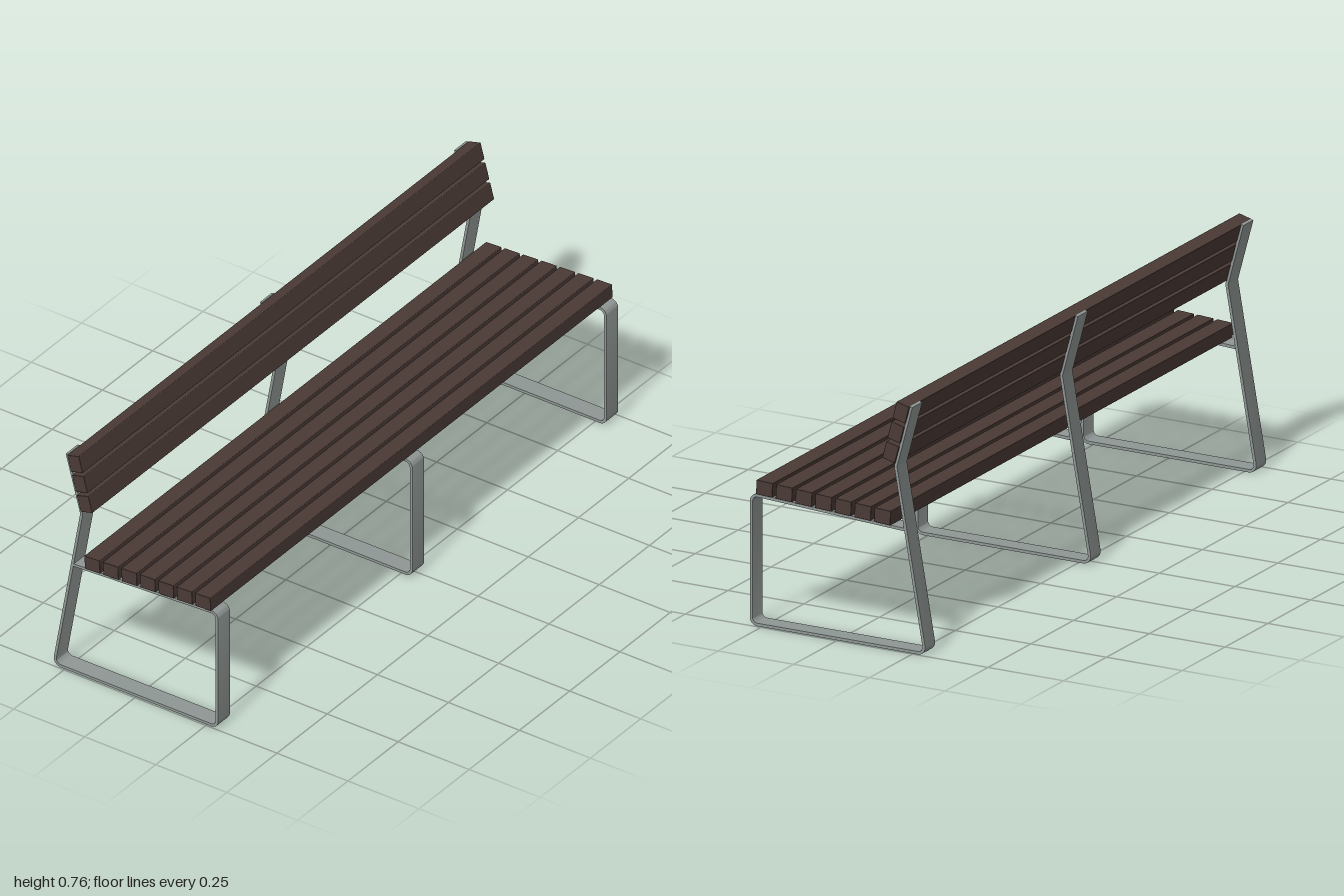
import * as THREE from 'three';
import { toCreasedNormals } from 'three/addons/utils/BufferGeometryUtils.js';
import { RoundedBoxGeometry } from 'three/addons/geometries/RoundedBoxGeometry.js';

const BAR = 0.009;    // thickness of the bent flat bar
const WIDTH = 0.058;  // width of the flat bar

// Polyline with every inner corner replaced by a true arc of radius r
function filletPath(corners, r, steps = 8) {
  const out = [corners[0]];
  for (let i = 1; i < corners.length - 1; i++) {
    const p = corners[i];
    const a = corners[i - 1].clone().sub(p).normalize();
    const b = corners[i + 1].clone().sub(p).normalize();
    const half = Math.acos(a.dot(b)) / 2;
    const centre = a.clone().add(b).normalize().multiplyScalar(r / Math.sin(half)).add(p);
    const start = a.multiplyScalar(r / Math.tan(half)).add(p).sub(centre);
    const end = b.multiplyScalar(r / Math.tan(half)).add(p).sub(centre);
    const sweep = Math.atan2(start.cross(end), start.dot(end));
    for (let k = 0; k <= steps; k++) {
      out.push(start.clone().rotateAround(new THREE.Vector2(), sweep * k / steps).add(centre));
    }
  }
  out.push(corners[corners.length - 1]);
  return out;
}

// Outline of a strip of constant thickness along a path
function stripShape(path, thickness) {
  const sides = [1, -1].map((s) => path.map((p, i) => {
    const dirs = [];
    if (i > 0) dirs.push(p.clone().sub(path[i - 1]).normalize());
    if (i < path.length - 1) dirs.push(path[i + 1].clone().sub(p).normalize());
    const t = dirs.reduce((m, d) => m.add(d), new THREE.Vector2()).normalize();
    return new THREE.Vector2(-t.y, t.x).multiplyScalar(s * thickness / 2).add(p);
  }));
  return new THREE.Shape([...sides[0], ...sides[1].reverse()]);
}

export function createModel() {
  const bench = new THREE.Group();
  bench.name = 'bench';
  const steel = new THREE.MeshStandardMaterial({ color: 0x8f9795 });
  const wood = new THREE.MeshStandardMaterial({ color: 0x4a3a35 });

  // Side profile as (z, y): seat support, front leg, foot, back leg, backrest
  const profile = [
    [-0.22, 0.37], [0.285, 0.396], [0.285, 0.0045],
    [-0.289, 0.0045], [-0.192, 0.557], [-0.243, 0.745],
  ].map(([z, y]) => new THREE.Vector2(z, y));
  let frameGeo = new THREE.ExtrudeGeometry(stripShape(filletPath(profile, 0.02), BAR), {
    depth: WIDTH, bevelEnabled: false,
  });
  frameGeo.translate(0, 0, -WIDTH / 2).rotateY(-Math.PI / 2);
  frameGeo = toCreasedNormals(frameGeo, 0.5);

  // Three bent frames
  [['rightFrame', -0.966], ['middleFrame', 0], ['leftFrame', 0.966]].forEach(([name, x]) => {
    const frame = new THREE.Mesh(frameGeo, steel);
    frame.name = name;
    frame.position.x = x;
    bench.add(frame);
  });

  // Evenly spaced row of slats between two centres given as (z, y)
  function slatRow(name, count, first, last, height, depth, tilt) {
    const row = new THREE.Group();
    row.name = name;
    const geo = new RoundedBoxGeometry(2, height, depth, 2, 0.002);
    for (let i = 0; i < count; i++) {
      const f = i / (count - 1);
      const slat = new THREE.Mesh(geo, wood);
      slat.name = `${name}Slat${i + 1}`;
      slat.position.set(0,
        THREE.MathUtils.lerp(first[1], last[1], f),
        THREE.MathUtils.lerp(first[0], last[0], f));
      slat.rotation.x = tilt;
      row.add(slat);
    }
    bench.add(row);
  }
  slatRow('seat', 7, [0.239, 0.421], [-0.151, 0.4], 0.044, 0.054, -0.052);
  slatRow('backrest', 3, [-0.178, 0.599], [-0.212, 0.724], 0.054, 0.043, -0.262);

  return bench;
}
